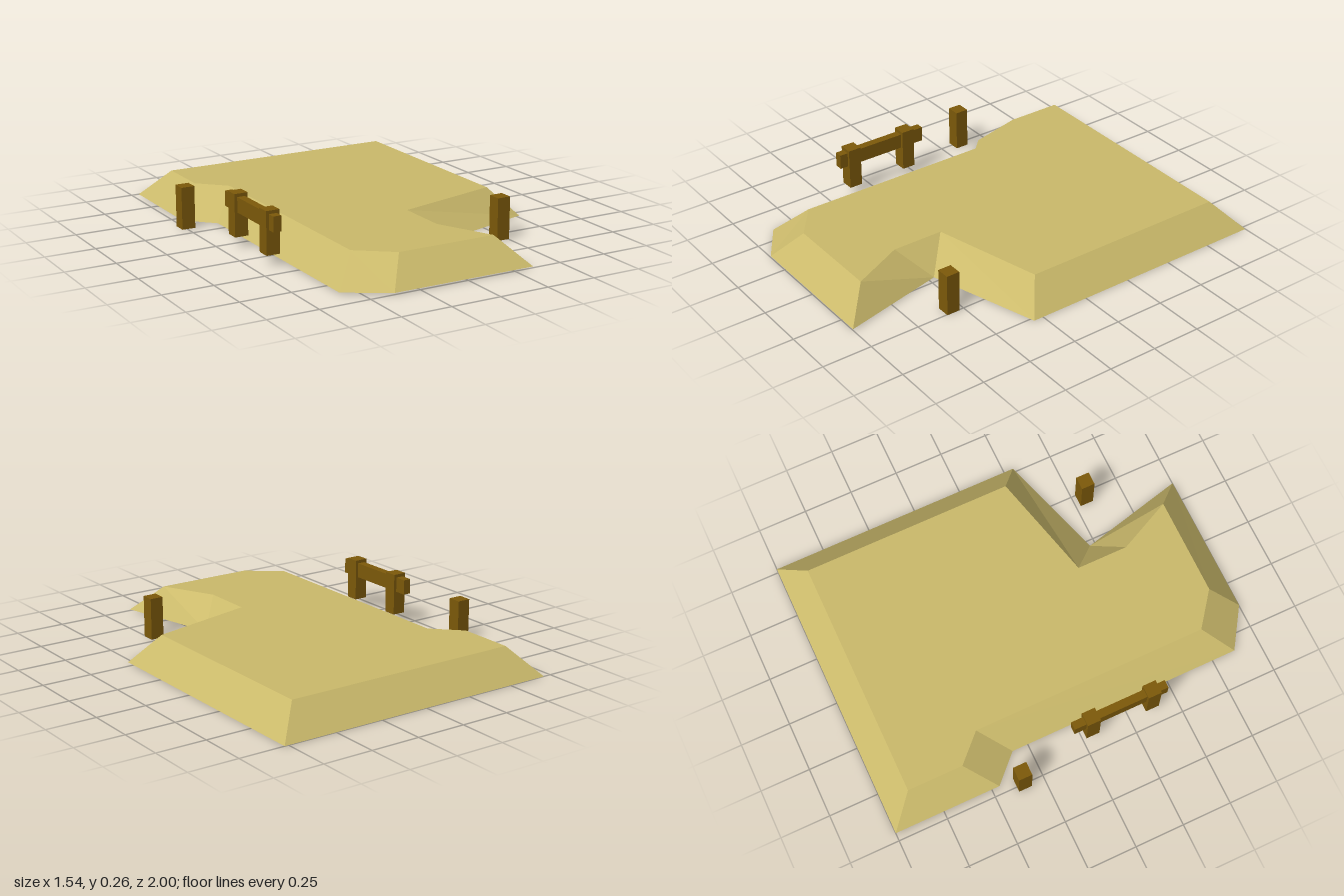
import * as THREE from 'three';

// Outline of the mound, counterclockwise from above: [top x, top z, base x, base z, base y]
const outline = [
  [-0.58, -0.87, -0.71, -1.0, 0],
  [-0.58, -0.59, -0.71, -0.46, 0],
  [-0.45, -0.46, -0.58, -0.33, 0],
  [-0.45, 0.74, -0.58, 0.87, 0.005],
  [-0.28, 0.87, -0.38, 1.0, 0.008],
  [0.22, 0.87, 0.35, 1.0, 0.006],
  [0.09, 0.6, 0.22, 0.47, 0.003],
  [0.09, 0.34, 0.22, 0.47, 0.003],
  [0.64, 0.2, 0.77, 0.3, 0],
  [0.64, -0.87, 0.77, -1.0, 0],
];
const TOP_Y = 0.14;

function surface(name, triangles, material) {
  const geometry = new THREE.BufferGeometry();
  geometry.setAttribute('position', new THREE.Float32BufferAttribute(triangles.flat(), 3));
  geometry.computeVertexNormals();
  const mesh = new THREE.Mesh(geometry, material);
  mesh.name = name;
  return mesh;
}

function box(name, [w, h, d], [x, y, z], material) {
  const mesh = new THREE.Mesh(new THREE.BoxGeometry(w, h, d), material);
  mesh.name = name;
  mesh.position.set(x, y + h / 2, z); // y is the underside
  return mesh;
}

export function createModel() {
  const sand = new THREE.MeshStandardMaterial({ color: 0xcbba6b, side: THREE.DoubleSide });
  sand.name = 'sand';
  const wood = new THREE.MeshStandardMaterial({ color: 0x7d5a0a });
  wood.name = 'wood';

  const model = new THREE.Group();
  model.name = 'sandMoundWithPosts';

  // Flat top of the mound
  const top = outline.map(([x, z]) => [x, TOP_Y, z]);
  const base = outline.map(([, , x, z, y]) => [x, y, z]);
  const faces = THREE.ShapeUtils.triangulateShape(outline.map(([x, z]) => new THREE.Vector2(x, -z)), []);
  model.add(surface('moundTop', faces.flat().map((i) => top[i]), sand));

  // Sloping banks, open underneath
  const banks = [];
  outline.forEach((_, i) => {
    const j = (i + 1) % outline.length;
    const pinched = base[i][0] === base[j][0] && base[i][2] === base[j][2];
    if (!pinched) banks.push(base[i], base[j], top[i]);
    banks.push(base[j], top[j], top[i]);
  });
  model.add(surface('moundBanks', banks, sand));

  // Single posts
  const post = [0.068, 0.21, 0.068];
  model.add(box('backPost', post, [-0.741, 0, -0.352], wood));
  model.add(box('frontPost', post, [0.47, 0, 0.558], wood));

  // Short fence: two posts and a rail
  const fence = new THREE.Group();
  fence.name = 'fence';
  for (const z of [0.045, 0.363]) fence.add(box('fencePost', post, [-0.653, 0.055, z], wood));
  fence.add(box('fenceRail', [0.04, 0.075, 0.49], [-0.653, 0.174, 0.195], wood));
  model.add(fence);

  return model;
}
